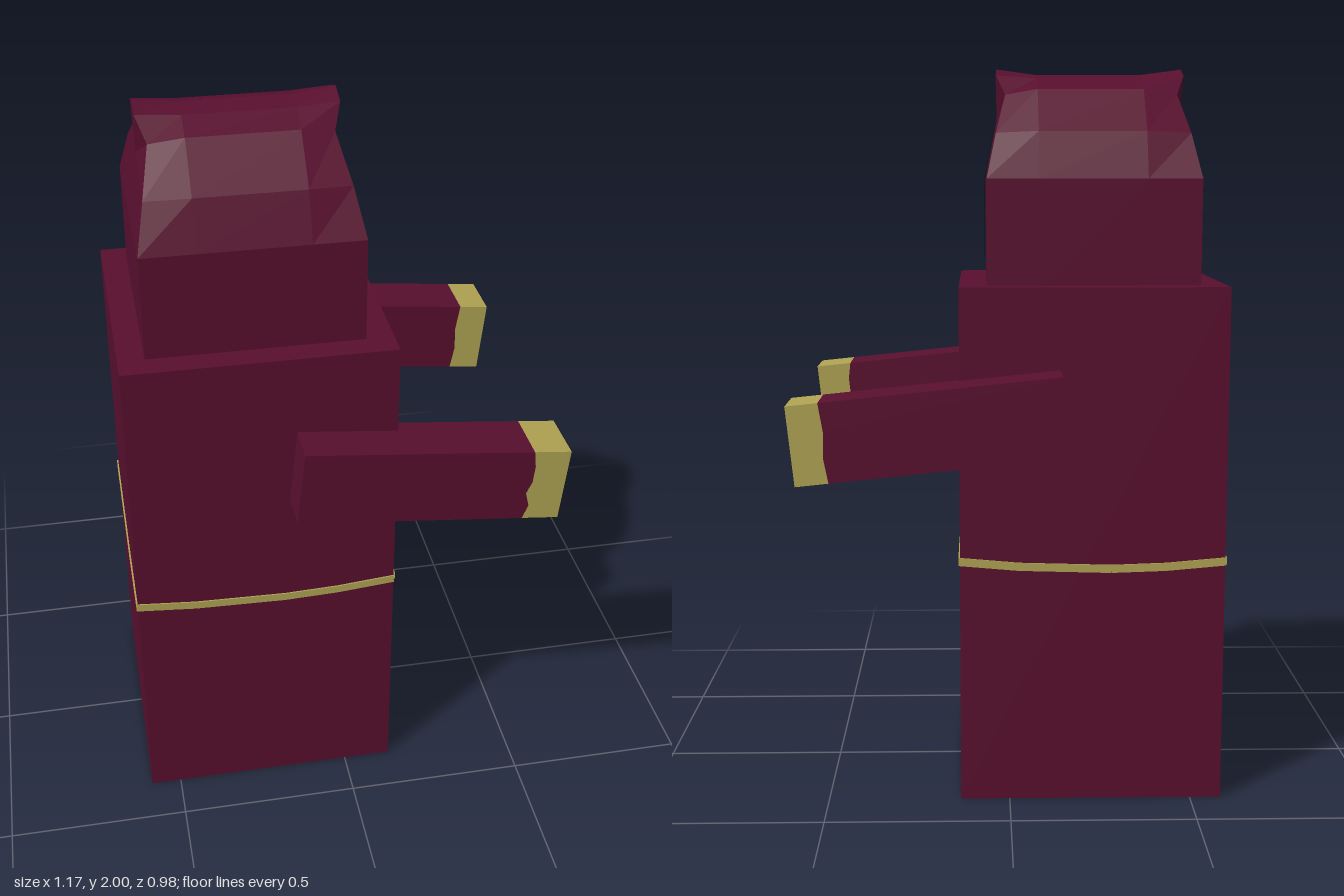
import * as THREE from 'three';

const robe = new THREE.MeshStandardMaterial({ color: 0x580f2e });
robe.name = 'maroon robe';
const gold = new THREE.MeshStandardMaterial({ color: 0xafa352 });
gold.name = 'dull gold';
const black = new THREE.MeshStandardMaterial({ color: 0x0d0d0d });
black.name = 'black';

function mesh(name, geometry, material, x = 0, y = 0, z = 0) {
  const m = new THREE.Mesh(geometry, material);
  m.name = name;
  m.position.set(x, y, z);
  return m;
}

function fromTriangles(triangles) {
  const g = new THREE.BufferGeometry();
  g.setAttribute('position', new THREE.Float32BufferAttribute(triangles.flat(2), 3));
  g.computeVertexNormals();
  return g;
}

// Thin painted line through points on a local xy plane
function ribbon(name, points, width) {
  const group = new THREE.Group();
  group.name = name;
  for (let i = 0; i + 1 < points.length; i++) {
    const [ax, ay] = points[i], [bx, by] = points[i + 1];
    const length = Math.hypot(bx - ax, by - ay);
    const m = mesh(name + 'Segment', new THREE.BoxGeometry(length, width, 0.006), gold, (ax + bx) / 2, (ay + by) / 2, 0);
    m.rotation.z = Math.atan2(by - ay, bx - ax);
    group.add(m);
  }
  return group;
}

// Hood: arched cross-sections along x, closed by creased end faces
function hoodGeometry() {
  const cz = 0.0125, x0 = -0.515, x1 = 0.06;
  // half profiles: [half width, y, inset of the end]
  const end = [[0.2875, 1.417, 0], [0.2875, 1.7, 0], [0.222, 1.82, 0.025], [0.118, 1.925, 0.052], [0.06, 1.98, 0.028], [0, 2, 0.028]];
  const mid = [[0.2875, 1.417, 0], [0.2875, 1.7, 0], [0.235, 1.825, 0], [0.13, 1.94, 0], [0.06, 1.972, 0], [0, 1.985, 0]];
  const ring = (half, x, dir) => {
    const left = half.map(([w, y, inset]) => [x + dir * inset, y, cz + w]);
    const right = half.slice(0, -1).reverse().map(([w, y, inset]) => [x + dir * inset, y, cz - w]);
    return [...left, ...right];
  };
  const rings = [ring(end, x0, 1), ring(mid, -0.37, 0), ring(mid, -0.08, 0), ring(end, x1, -1)];
  const tris = [];
  for (let s = 0; s < 3; s++) {
    const a = rings[s], b = rings[s + 1];
    for (let i = 0; i < 10; i++) tris.push([a[i], b[i], b[i + 1]], [a[i], b[i + 1], a[i + 1]]);
  }
  const cap = (p, centre, flip) => {
    const add = (a, b, c) => tris.push(flip ? [a, c, b] : [a, b, c]);
    for (let i = 1; i < 9; i++) add(centre, p[i + 1], p[i]);
    add(centre, p[1], p[9]);
    add(p[0], p[10], p[9]);
    add(p[0], p[9], p[1]);
  };
  cap(rings[3], [x1 - 0.03, 1.86, cz], false);
  cap(rings[0], [x0 + 0.03, 1.86, cz], true);
  return fromTriangles(tris);
}

// Dark face opening, following the fold of the hood front
function faceGeometry() {
  const rows = [[1.47, 0.14, -0.12], [1.495, 0.195, -0.185], [1.56, 0.22, -0.208], [1.63, 0.208, -0.202],
    [1.7, 0.172, -0.168], [1.76, 0.14, -0.132], [1.82, 0.095, -0.075], [1.842, 0.055, -0.04], [1.85, 0.03, -0.015]];
  const p = rows.map(([y, a, b]) => {
    const x = 0.064 - Math.max(0, y - 1.7) * 0.1875;
    return [[x, y, a], [x, y, b]];
  });
  const tris = [];
  for (let i = 0; i + 1 < p.length; i++) {
    tris.push([p[i][0], p[i][1], p[i + 1][1]], [p[i][0], p[i + 1][1], p[i + 1][0]]);
  }
  return fromTriangles(tris);
}

// Arm: sleeve and hand share the cuff line, listed from top to bottom
function arm(name, z, cuff) {
  const group = new THREE.Group();
  group.name = name;
  const L = 0.36, H = 0.106, depth = 0.155;
  const part = (partName, tip, material) => {
    const shape = new THREE.Shape([[tip, -H], [tip, H], ...cuff].map(([x, y]) => new THREE.Vector2(x, y)));
    const g = new THREE.ExtrudeGeometry(shape, { depth, bevelEnabled: false });
    group.add(mesh(partName, g.translate(0, 0, -depth / 2), material));
  };
  part('sleeve', -L, robe);
  part('hand', L, gold);
  group.position.set(0.212, 1.055, z);
  group.rotation.z = -0.103;
  return group;
}

export function createModel() {
  const model = new THREE.Group();
  model.name = 'robedFigure';

  const cx = -0.225, cz = 0.01, half = 0.36;
  model.add(mesh('robeBody', new THREE.BoxGeometry(0.72, 1.417, 0.72), robe, cx, 0.7085, cz));
  model.add(mesh('hood', hoodGeometry(), robe));
  model.add(mesh('face', faceGeometry(), black));

  // Slanted eyes
  for (const s of [1, -1]) {
    const eye = mesh('eye', new THREE.CircleGeometry(0.028, 12), robe, 0.069, 1.71, 0.022 + s * 0.073);
    eye.scale.y = 0.5;
    eye.rotation.set(0, Math.PI / 2, -s * 0.5, 'YXZ');
    model.add(eye);
  }

  model.add(arm('leftArm', 0.408, [[0.258, 0.106], [0.268, 0.06], [0.268, 0.01], [0.256, -0.025], [0.27, -0.065], [0.258, -0.106]]));
  model.add(arm('rightArm', -0.412, [[0.275, 0.106], [0.27, 0.03], [0.278, -0.04], [0.272, -0.106]]));

  // Rope belt, one painted line per side of the robe
  const sag = [[-half, 0.676], [-0.2, 0.662], [0.05, 0.655], [0.2, 0.66], [half, 0.674]];
  const frontLine = [[-half, 0.684], [-0.26, 0.668], [-0.1, 0.66], [0.06, 0.663], [0.12, 0.674], [half, 0.676]];
  for (let i = 0; i < 4; i++) {
    const side = new THREE.Group();
    side.name = ['leftSide', 'frontSide', 'rightSide', 'backSide'][i];
    const angle = i * Math.PI / 2;
    side.rotation.y = angle;
    side.position.set(cx + Math.sin(angle) * (half + 0.001), 0, cz + Math.cos(angle) * (half + 0.001));
    side.add(ribbon('belt', i === 1 ? frontLine : sag, 0.022));
    if (i === 1) {
      // Bow ends and inverted cross on the chest
      side.add(ribbon('bowEnd', [[-0.17, 0.602], [-0.1, 0.622], [-0.03, 0.658]], 0.024));
      side.add(ribbon('bowEnd', [[0.06, 0.61], [0.02, 0.63], [-0.04, 0.66]], 0.024));
      side.add(ribbon('bowKnot', [[-0.11, 0.645], [-0.03, 0.64], [0.03, 0.65]], 0.016));
      side.add(ribbon('crossUpright', [[-0.024, 1.375], [-0.014, 1.25], [-0.01, 1.128]], 0.028));
      side.add(ribbon('crossBar', [[-0.095, 1.211], [0.068, 1.216]], 0.026));
    }
    model.add(side);
  }
  return model;
}
